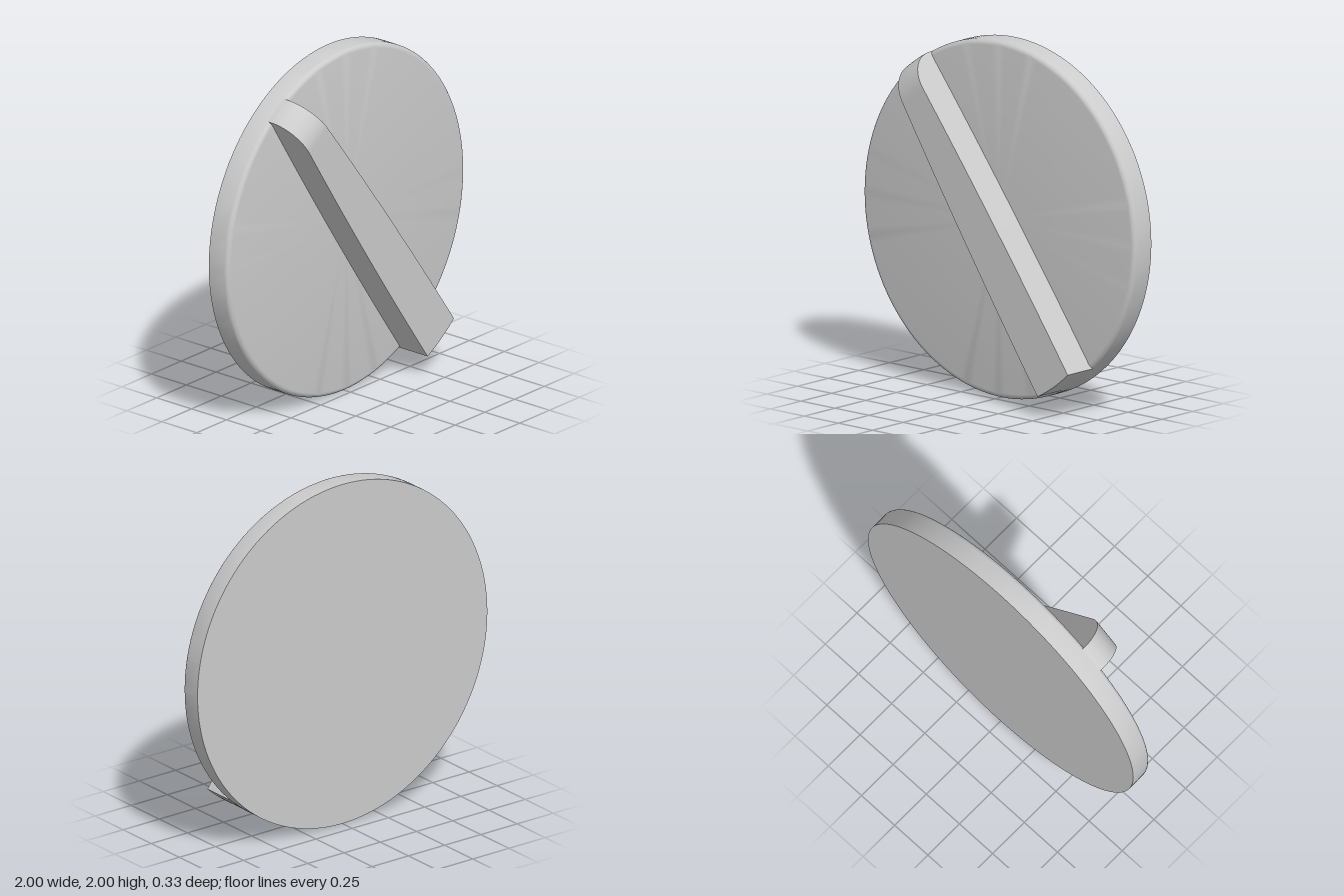
import * as THREE from 'three';
import { toCreasedNormals } from 'three/addons/utils/BufferGeometryUtils.js';

const BACK = -0.163, FACE = -0.028, FRONT = 0.163; // depths along z
const FILLET = 0.03;

const onRim = (deg, radius = 0.998) => {
  const a = THREE.MathUtils.degToRad(deg);
  return new THREE.Vector2(radius * Math.cos(a), radius * Math.sin(a));
};

// Round plate with a filleted front rim
function discGeometry() {
  const profile = [[0, BACK], [1, BACK]];
  for (let i = 0; i <= 6; i++) {
    const a = (i / 6) * Math.PI / 2;
    profile.push([1 - FILLET + FILLET * Math.cos(a), FACE - FILLET + FILLET * Math.sin(a)]);
  }
  profile.push([0, FACE]);
  const g = new THREE.LatheGeometry(profile.map(p => new THREE.Vector2(...p)), 128);
  g.rotateX(Math.PI / 2);
  return toCreasedNormals(g, 0.5);
}

// Tapered, slightly bowed rib from rim to rim, rounded down at its upper end
function ribGeometry() {
  const rows = 36, roundRows = 16, radius = FRONT - FACE, bow = 0.014;
  const g = new THREE.BoxGeometry(1, 1, 1, 8, rows, 1);
  const pos = g.attributes.position;
  const length = 1.98;
  for (let i = 0; i < pos.count; i++) {
    const u = pos.getX(i) + 0.5;
    const row = Math.round((0.5 - pos.getY(i)) * rows);
    let along, height = FRONT;
    if (row <= roundRows) {
      const a = (row / roundRows) * Math.PI / 2;
      along = radius * (1 - Math.cos(a));
      height = FACE + radius * Math.sin(a);
    } else {
      along = radius + (length - radius) * (row - roundRows) / (rows - roundRows);
    }
    const t = along / length;
    const p = onRim(129.7 - 9.4 * u).lerp(onRim(-62.7 + 15.6 * u), t);
    const swell = bow * (2 * u - 1) * 4 * t * (1 - t);
    const z = pos.getZ(i) > 0 ? height : FACE - 0.05;
    pos.setXYZ(i, p.x + 0.81 * swell, p.y + 0.58 * swell, z);
  }
  return toCreasedNormals(g, 0.5);
}

export function createModel() {
  const group = new THREE.Group();
  const material = new THREE.MeshStandardMaterial({ color: 0xcccccc });
  const add = (name, geometry) => {
    const mesh = new THREE.Mesh(geometry, material);
    mesh.name = name;
    mesh.position.y = 1;
    group.add(mesh);
  };
  add('disc', discGeometry());
  add('gripRib', ribGeometry());
  return group;
}
